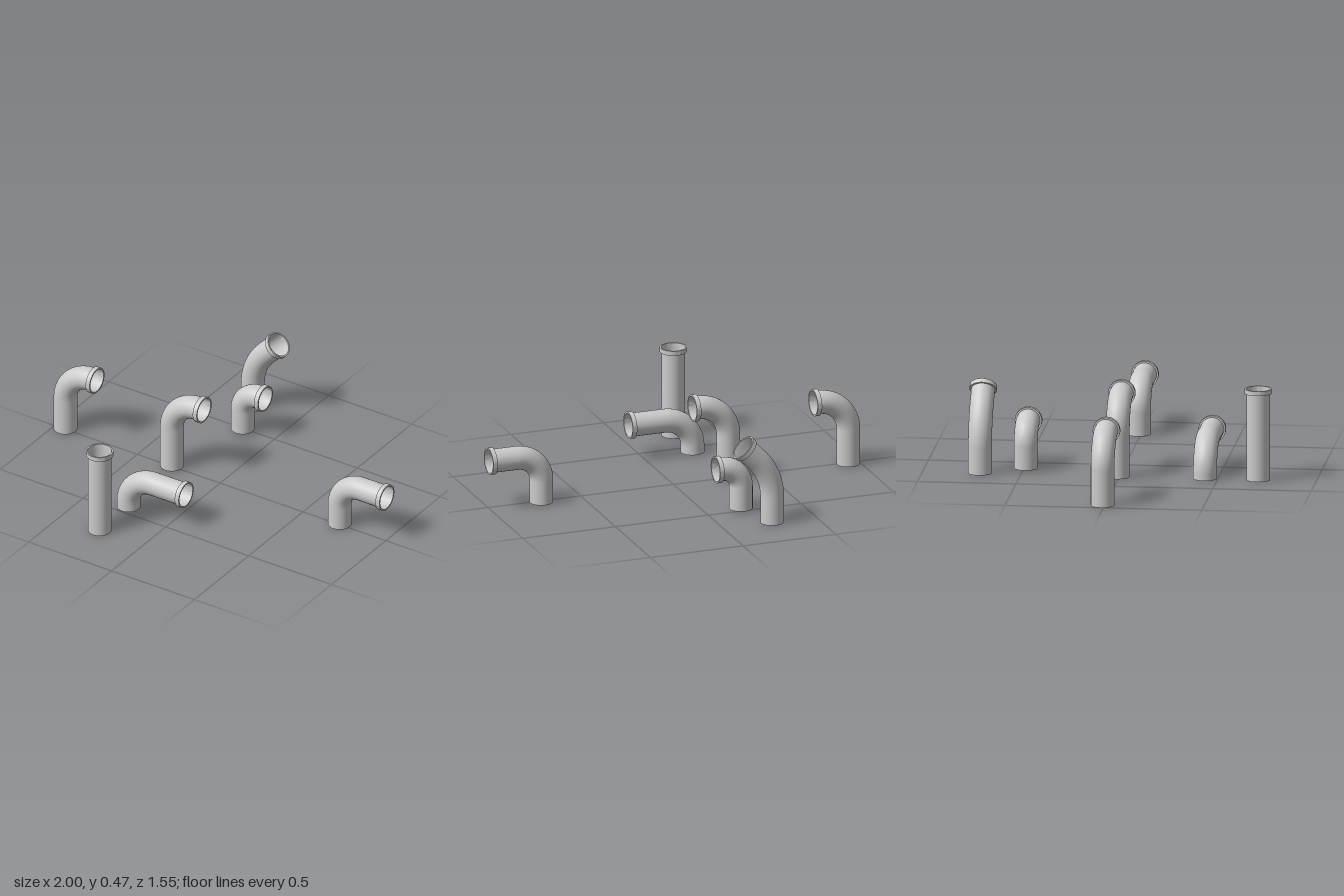
import * as THREE from 'three';
import { toCreasedNormals } from 'three/addons/utils/BufferGeometryUtils.js';

const R = 0.06, COLLAR_R = 0.069, COLLAR_H = 0.024;
const material = new THREE.MeshStandardMaterial({ color: 0xcccccc, side: THREE.DoubleSide });

// Point and heading on a path: straight rise, arc towards +x, straight run
function pathAt(t, rise, bendR, angle) {
  if (t <= rise || angle === 0) return { x: 0, y: t, a: 0 };
  const a = Math.min((t - rise) / bendR, angle);
  const s = Math.max(0, t - rise - bendR * angle);
  return {
    x: bendR * (1 - Math.cos(a)) + s * Math.sin(a),
    y: rise + bendR * Math.sin(a) + s * Math.cos(a),
    a,
  };
}

// Open cylinder whose rings are moved onto the path
function bentTube(rise, bendR, angle, run) {
  const length = rise + bendR * angle + run;
  const geo = new THREE.CylinderGeometry(R, R, length, 48, angle ? 64 : 1, true);
  geo.translate(0, length / 2, 0);
  const pos = geo.attributes.position, nor = geo.attributes.normal;
  for (let i = 0; i < pos.count; i++) {
    const p = pathAt(pos.getY(i), rise, bendR, angle);
    const c = Math.cos(p.a), s = Math.sin(p.a), x = pos.getX(i), nx = nor.getX(i);
    pos.setXY(i, p.x + x * c, p.y - x * s);
    nor.setXY(i, nx * c, -nx * s);
  }
  return geo;
}

// Raised socket rim
function collarGeometry() {
  const profile = [
    [R, 0], [COLLAR_R, 0], [COLLAR_R, COLLAR_H], [R + 0.001, COLLAR_H], [R, 0],
  ].map(([x, y]) => new THREE.Vector2(x, y));
  return toCreasedNormals(new THREE.LatheGeometry(profile, 48), 0.6);
}

function makePipe({ name, at, rise, bendR = 0, angle = 0, run = 0 }, collarGeo) {
  const pipe = new THREE.Group();
  pipe.name = name;
  const tube = new THREE.Mesh(bentTube(rise, bendR, angle, run), material);
  tube.name = 'tube';
  const end = pathAt(rise + bendR * angle + run, rise, bendR, angle);
  const collar = new THREE.Mesh(collarGeo, material);
  collar.name = 'collar';
  collar.position.set(end.x, end.y, 0);
  collar.rotation.z = -end.a;
  pipe.add(tube, collar);
  pipe.position.set(...at);
  return pipe;
}

export function createModel() {
  const group = new THREE.Group();
  group.name = 'pipeFittings';
  const Q = Math.PI / 2;
  const collarGeo = collarGeometry();
  const pipes = [
    { name: 'straightPipe', at: [-0.265, 0, 0.705], rise: 0.447 },
    { name: 'rightElbow', at: [-0.94, 0, -0.01], rise: 0.187, bendR: 0.16, angle: Q, run: 0.006 },
    { name: 'centreElbow', at: [-0.294, 0.004, -0.005], rise: 0.233, bendR: 0.16, angle: Q, run: 0.01 },
    { name: 'leftElbow', at: [0.716, 0, -0.01], rise: 0.12, bendR: 0.13, angle: Q, run: 0.13 },
    { name: 'longElbow', at: [-0.267, 0, 0.435], rise: 0.033, bendR: 0.15, angle: Q, run: 0.173 },
    { name: 'shortElbow', at: [-0.182, 0.012, -0.485], rise: 0.12, bendR: 0.1, angle: Q, run: 0.013 },
    { name: 'halfBend', at: [-0.267, 0, -0.708], rise: 0.136, bendR: 0.3, angle: Math.PI / 4, run: 0.074 },
  ];
  for (const p of pipes) group.add(makePipe(p, collarGeo));
  return group;
}
